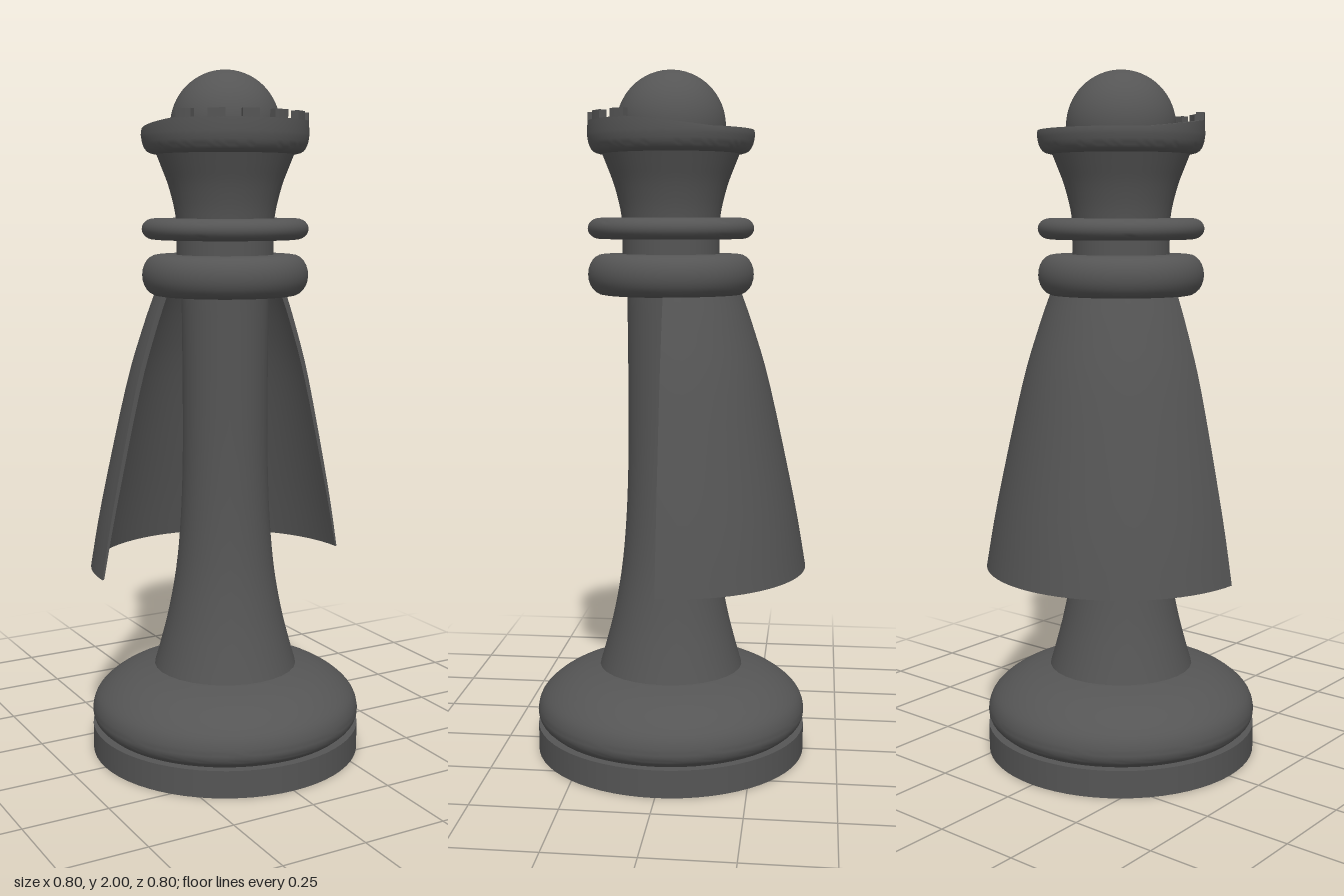
import * as THREE from 'three';
import { toCreasedNormals } from 'three/addons/utils/BufferGeometryUtils.js';

const material = new THREE.MeshStandardMaterial({ color: 0x555555, side: THREE.DoubleSide });
const V = (x, y) => new THREE.Vector2(x, y);

export function createModel() {
  const group = new THREE.Group();

  const add = (name, geometry, parent = group) => {
    const mesh = new THREE.Mesh(geometry, material);
    mesh.name = name;
    parent.add(mesh);
    return mesh;
  };
  // Smooth run of points through [radius, height] pairs
  const curve = (pairs, n = 16) =>
    new THREE.SplineCurve(pairs.map(([r, y]) => V(r, y))).getPoints(n);
  const turn = (points, segments = 64, start = 0, length = Math.PI * 2) =>
    toCreasedNormals(new THREE.LatheGeometry(points, segments, start, length), 0.6);
  // Ring with a half-round outer edge
  const collar = (y0, y1, radius, bulge) => {
    const pts = [V(0, y0)];
    for (let i = 0; i <= 12; i++) {
      const a = -Math.PI / 2 + (Math.PI * i) / 12;
      pts.push(V(radius - bulge + bulge * Math.cos(a), (y0 + y1) / 2 + ((y1 - y0) / 2) * Math.sin(a)));
    }
    pts.push(V(0, y1));
    return turn(pts);
  };

  // Base
  add('baseDisc', new THREE.CylinderGeometry(0.4, 0.4, 0.08, 64).translate(0, 0.04, 0));
  add('baseBulge', turn([
    V(0, 0.08),
    ...curve([[0.375, 0.08], [0.395, 0.1], [0.4, 0.13], [0.385, 0.17], [0.34, 0.21], [0.28, 0.24], [0.21, 0.258]], 24),
    V(0, 0.258),
  ]));

  // Stem
  add('stem', turn(curve(
    [[0.215, 0.25], [0.195, 0.32], [0.17, 0.42], [0.147, 0.55], [0.133, 0.7], [0.126, 0.88], [0.125, 1.1], [0.127, 1.38]], 24), 32));

  // Collars
  add('lowerCollar', collar(1.365, 1.482, 0.24, 0.045));
  add('collarNeck', new THREE.CylinderGeometry(0.14, 0.14, 0.08, 32).translate(0, 1.5, 0));
  add('upperCollar', collar(1.525, 1.585, 0.24, 0.035));

  // Flared head
  add('head', turn([
    ...curve([[0.14, 1.57], [0.148, 1.62], [0.164, 1.68], [0.183, 1.73], [0.203, 1.78]], 14),
    V(0, 1.78),
  ], 32));

  // Crown: hollow cup whose rim slopes down towards the back
  const crown = new THREE.Group();
  crown.name = 'crown';
  group.add(crown);
  const cup = new THREE.LatheGeometry([
    V(0.15, 1.765),
    ...curve([[0.2, 1.765], [0.222, 1.772], [0.235, 1.792], [0.24, 1.82]], 8),
    V(0.238, 1.857), V(0.215, 1.857),
    ...curve([[0.212, 1.825], [0.19, 1.8], [0.15, 1.785]], 8),
  ], 96);
  const pos = cup.attributes.position;
  for (let i = 0; i < pos.count; i++) {
    if (pos.getY(i) < 1.85) continue;
    const t = THREE.MathUtils.clamp((0.1 - pos.getZ(i)) / 0.23, 0, 1);
    pos.setY(i, 1.857 - 0.026 * t);
  }
  add('crownCup', toCreasedNormals(cup, 0.6), crown);

  // Battlements around the front of the rim
  const deg = Math.PI / 180;
  for (const centre of [-57.5, -34.5, -11.5, 11.5, 34.5, 57.5]) {
    const a0 = -Math.PI / 2 + (centre - 5.75) * deg;
    const a1 = -Math.PI / 2 + (centre + 5.75) * deg;
    const shape = new THREE.Shape();
    shape.absarc(0, 0, 0.238, a0, a1, false);
    shape.absarc(0, 0, 0.215, a1, a0, true);
    const merlon = new THREE.ExtrudeGeometry(shape, { depth: 0.03, bevelEnabled: false, curveSegments: 4 });
    add('battlement', merlon.rotateX(-Math.PI / 2).translate(0, 1.85, 0), crown);
  }

  // Ball on top
  add('topBall', new THREE.SphereGeometry(0.157, 48, 32).translate(0, 1.843, 0));

  // Cape: half-turn shell around the back, thinner at the hem
  const cape = new THREE.Group();
  cape.name = 'cape';
  group.add(cape);
  const outer = curve([[0.4, 0.565], [0.365, 0.76], [0.29, 1.1], [0.24, 1.27], [0.203, 1.375]]);
  const inner = curve([[0.185, 1.375], [0.224, 1.27], [0.276, 1.1], [0.355, 0.76], [0.395, 0.565]]);
  const section = [...outer, ...inner];
  add('capeShell', turn([...section, section[0].clone()], 40, Math.PI / 2, Math.PI), cape);
  for (const side of [1, -1]) {
    const edge = new THREE.Shape(section.map((p) => V(p.x * side, p.y)));
    add('capeEdge', new THREE.ShapeGeometry(edge), cape);
  }

  return group;
}
